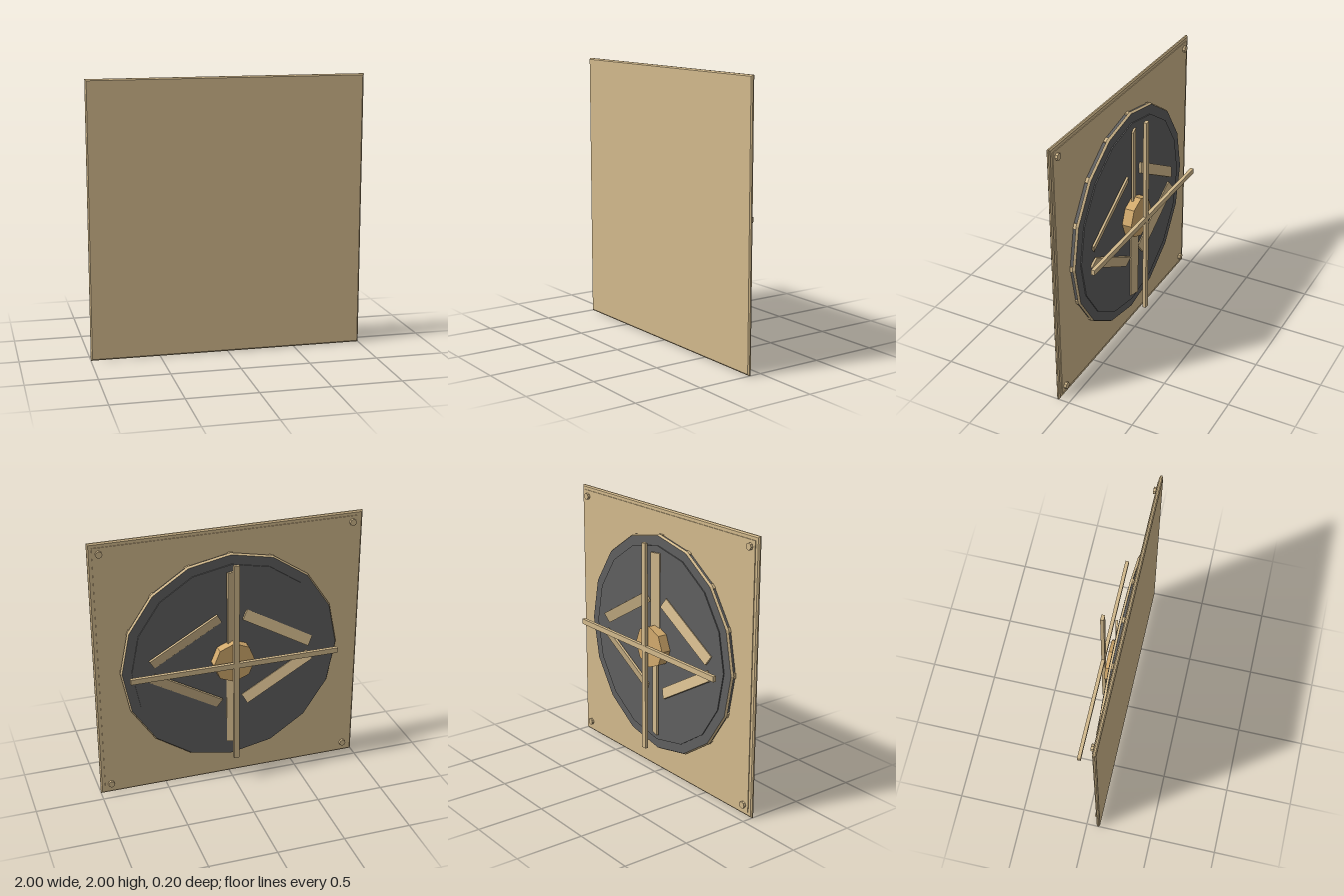
import * as THREE from 'three';

export function createModel() {
  const group = new THREE.Group();
  const mat = (name, color) => {
    const m = new THREE.MeshStandardMaterial({ color, flatShading: true });
    m.name = name;
    return m;
  };
  const tan = mat('tan', 0xd2b98c);
  const gold = mat('golden tan', 0xd2aa6d);
  const dark = mat('dark grey', 0x5f5f5f);

  const add = (name, geometry, material, x = 0, y = 0, z = 0) => {
    const mesh = new THREE.Mesh(geometry, material);
    mesh.name = name;
    mesh.position.set(x, y + 1, z);
    group.add(mesh);
    return mesh;
  };
  const box = (name, w, h, z0, z1, material, x = 0, y = 0) =>
    add(name, new THREE.BoxGeometry(w, h, z1 - z0), material, x, y, (z0 + z1) / 2);
  // Faceted disc lying in the xy plane, from z0 (back) to z1 (front)
  const disc = (name, backR, frontR, z0, z1, sides, material, x = 0, y = 0) =>
    add(name, new THREE.CylinderGeometry(frontR, backR, z1 - z0, sides).rotateX(Math.PI / 2),
      material, x, y, (z0 + z1) / 2);

  // Square front panel with chamfered edges
  const s = 0.99;
  const square = new THREE.Shape([[-s, -s], [s, -s], [s, s], [-s, s]].map(p => new THREE.Vector2(...p)));
  const panel = new THREE.ExtrudeGeometry(square, {
    depth: 0.01, bevelEnabled: true, bevelThickness: 0.008, bevelSize: 0.01, bevelSegments: 1,
  });
  add('frontPanel', panel, tan, 0, 0, 0.083);
  box('backPlate', 1.935, 1.935, 0.07, 0.08, tan);

  // Corner posts
  for (const x of [-0.922, 0.922])
    for (const y of [-0.922, 0.922]) disc('cornerPost', 0.025, 0.025, 0.052, 0.071, 8, tan, x, y);

  // Round housing: dark core, tan rim with a dark face, raised inner face
  disc('housingCore', 0.808, 0.808, 0.043, 0.071, 16, dark);
  disc('housingRim', 0.81, 0.82, 0.028, 0.044, 16, [tan, dark, dark]);
  disc('housingFace', 0.74, 0.74, 0.02, 0.03, 16, dark);

  // Spacers at the corners of the housing
  for (let i = 0; i < 16; i++) {
    const a = i * Math.PI / 8;
    const spacer = box('spacer', 0.03, 0.04, 0.042, 0.066, tan, 0.8 * Math.cos(a), 0.8 * Math.sin(a));
    spacer.rotation.z = a;
  }

  // Six pitched blades, each turned against its place on the circle
  for (let i = 0; i < 6; i++) {
    const a = Math.PI / 6 + i * Math.PI / 3;
    const blade = box('blade', 0.58, 0.08, 0.0, 0.016, tan, 0.4 * Math.cos(a), 0.4 * Math.sin(a));
    blade.rotation.set(-0.27, 0, -a, 'ZYX');
  }

  // Hub
  disc('hub', 0.155, 0.155, -0.052, 0.022, 8, gold);

  // Crossed guard bars
  box('guardBarAcross', 1.555, 0.04, -0.102, -0.076, tan);
  box('guardBarUpright', 0.04, 1.555, -0.1015, -0.0765, tan);

  return group;
}
